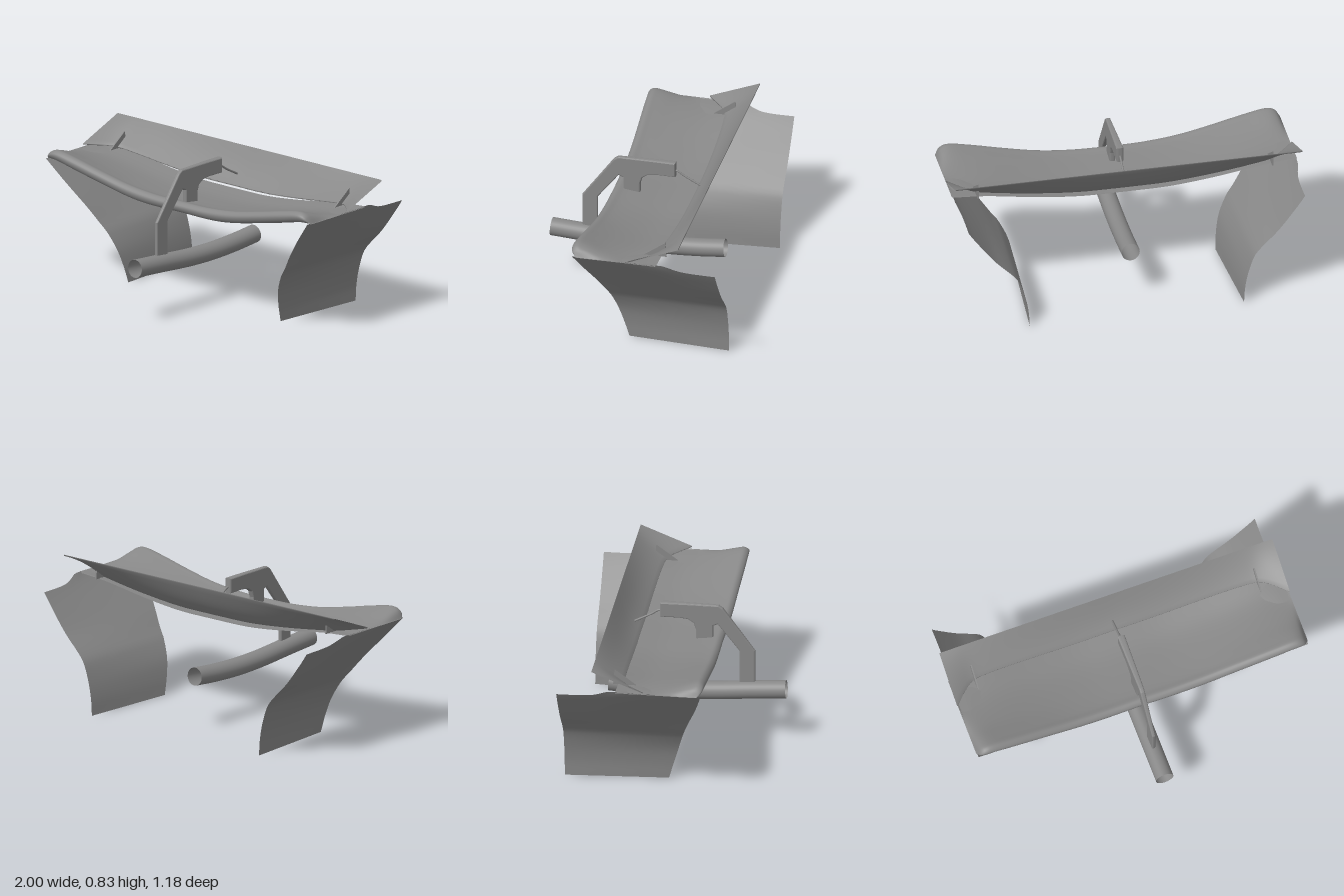
import * as THREE from 'three';

const V = (x, y, z) => new THREE.Vector3(x, y, z);

// Smooth lookup in a short table of [position, value] pairs.
function curve(table) {
  const n = table.length;
  const slope = (i) => {
    const a = table[Math.max(i - 1, 0)], b = table[Math.min(i + 1, n - 1)];
    return (b[1] - a[1]) / (b[0] - a[0]);
  };
  return (t) => {
    t = Math.min(Math.max(t, table[0][0]), table[n - 1][0]);
    let i = 0;
    while (i < n - 2 && t > table[i + 1][0]) i++;
    const [x0, y0] = table[i], [x1, y1] = table[i + 1], h = x1 - x0, u = (t - x0) / h;
    const u2 = u * u, u3 = u2 * u;
    return (2 * u3 - 3 * u2 + 1) * y0 + (u3 - 2 * u2 + u) * h * slope(i)
      + (3 * u2 - 2 * u3) * y1 + (u3 - u2) * h * slope(i + 1);
  };
}

// Skin over rows of points.
function loft(rows) {
  const m = rows[0].length, index = [];
  for (let i = 0; i < rows.length - 1; i++) {
    for (let j = 0; j < m - 1; j++) {
      const a = i * m + j, b = a + m;
      index.push(a, a + 1, b, b, a + 1, b + 1);
    }
  }
  const geo = new THREE.BufferGeometry().setFromPoints(rows.flat());
  geo.setIndex(index);
  geo.computeVertexNormals();
  return geo;
}

// Span positions, closer together toward the tips.
function stations(half, count) {
  return Array.from({ length: count + 1 }, (_, i) => half * Math.sin((i / count - 0.5) * Math.PI));
}

export function createModel() {
  const group = new THREE.Group();
  const grey = new THREE.MeshStandardMaterial({ color: 0x888888, side: THREE.DoubleSide });
  grey.name = 'grey';
  const add = (name, geo) => {
    const mesh = new THREE.Mesh(geo, grey);
    mesh.name = name;
    group.add(mesh);
    return mesh;
  };

  // Main wing: rolled leading edge, thin trailing edge, raised tips
  const top = curve([[0, 0.633], [0.2, 0.636], [0.4, 0.655], [0.6, 0.694], [0.8, 0.738], [0.92, 0.757], [0.97, 0.74], [0.995, 0.7]]);
  const bottom = curve([[0, 0.562], [0.25, 0.562], [0.4, 0.578], [0.6, 0.618], [0.8, 0.662], [0.92, 0.69], [0.995, 0.697]]);
  const rear = curve([[0, 0.612], [0.25, 0.615], [0.5, 0.64], [0.8, 0.685], [0.995, 0.7]]);
  const nose = curve([[0, 0.228], [0.5, 0.235], [0.9, 0.246], [0.97, 0.24], [0.995, 0.215]]);
  add('mainWing', loft(stations(0.995, 64).map((x) => {
    const a = Math.abs(x), T = top(a), B = bottom(a), R = rear(a), N = nose(a), h = T - B;
    return new THREE.CatmullRomCurve3([
      V(x, R + 0.003, -0.25), V(x, R - 0.12 * h, -0.1), V(x, R + (T - R) * 0.4 - 0.1 * h, 0.06),
      V(x, T - 0.12 * h, N - 0.07), V(x, T, N - 0.025), V(x, T - 0.3 * h, N),
      V(x, B + 0.25 * h, N - 0.012), V(x, B + 0.06 * h, N - 0.05), V(x, B, 0.1),
      V(x, B + (R - B) * 0.3, -0.05), V(x, R - 0.003, -0.25),
    ]).getPoints(40);
  })));

  // Flap: straight trailing edge, lower edge following the main wing
  const lipZ = curve([[0, -0.24], [0.5, -0.235], [0.8, -0.22], [0.88, -0.198], [1, -0.09]]);
  const lipY = curve([[0, 0.638], [0.25, 0.64], [0.5, 0.66], [0.8, 0.695], [0.9, 0.706], [1, 0.715]]);
  add('flap', loft(stations(1, 56).map((x) => {
    const a = Math.abs(x), z0 = lipZ(a), y0 = lipY(a), row = [];
    const at = (u, off) => V(x, y0 + (0.83 - y0) * u - 0.02 * Math.sin(u * Math.PI) * (1 - a) + off,
      z0 + (-0.382 - z0) * u);
    for (let k = 8; k >= 0; k--) row.push(at(k / 8, 0));
    for (let k = 0; k <= 8; k++) row.push(at(k / 8, -0.007));
    row.push(row[0].clone());
    return row;
  })));

  // End plates: curved sheets sweeping inward toward the bottom
  const plateFront = curve([[0, 0], [0.17, 0.05], [0.35, 0.105], [0.57, 0.193], [0.7, 0.236]]);
  const plateTop = curve([[-0.588, 0.66], [-0.45, 0.662], [-0.38, 0.67], [-0.33, 0.688], [-0.29, 0.703], [-0.2, 0.7], [0.25, 0.7]]);
  const xFront = curve([[0, 0.577], [0.1, 0.587], [0.2, 0.61], [0.3, 0.66], [0.35, 0.7], [0.45, 0.775], [0.58, 0.885], [0.7, 0.99]]);
  const xRear = curve([[0, 0.618], [0.1, 0.625], [0.2, 0.645], [0.3, 0.68], [0.35, 0.718], [0.45, 0.815], [0.58, 0.915], [0.66, 0.97], [0.7, 0.99]]);
  const sheet = [];
  for (let i = 0; i <= 32; i++) {
    const row = [];
    for (let j = 0; j <= 32; j++) {
      const u = j / 32, v = i / 32;
      const z = plateFront(v * 0.7) * (1 - u) - 0.588 * u, y = v * plateTop(z);
      row.push(V(xFront(y) * (1 - u) + xRear(y) * u, y, z));
    }
    sheet.push(row);
  }
  const plateGeo = loft(sheet);
  add('leftEndPlate', plateGeo);
  add('rightEndPlate', plateGeo).scale.x = -1;

  // Flat profile in the side plane, extruded across x
  const sideProfile = (pts, options) => {
    const shape = new THREE.Shape(pts.map(([z, y]) => new THREE.Vector2(-z, y)));
    const geo = new THREE.ExtrudeGeometry(shape, options);
    geo.translate(0, 0, -options.depth / 2);
    return geo.rotateY(Math.PI / 2);
  };

  // Flap brackets
  for (const s of [1, -1]) {
    add(s > 0 ? 'leftFlapBracket' : 'rightFlapBracket',
      sideProfile([[-0.15, 0.69], [-0.28, 0.69], [-0.272, 0.778]], { depth: 0.008, bevelEnabled: false }))
      .position.x = s * 0.85;
  }

  // Curved pylon, wider toward the rear
  const pylon = sideProfile([
    [0.403, 0.33], [0.403, 0.552], [0.222, 0.8], [0.2, 0.815], [0, 0.818], [-0.125, 0.818],
    [-0.125, 0.742], [-0.02, 0.742], [0.03, 0.735], [0.067, 0.71], [0.08, 0.67], [0.08, 0.6],
    [0.165, 0.6], [0.165, 0.7], [0.2, 0.715], [0.327, 0.553], [0.327, 0.33],
  ], { depth: 0.008, bevelEnabled: true, bevelSize: 0.007, bevelThickness: 0.007, bevelSegments: 3 });
  const p = pylon.attributes.position;
  for (let i = 0; i < p.count; i++) {
    p.setX(i, p.getX(i) * THREE.MathUtils.mapLinear(p.getZ(i), -0.13, 0.41, 1.9, 0.9));
  }
  pylon.computeVertexNormals();
  add('pylon', pylon);

  // Link from pylon to flap
  add('flapLink', new THREE.TubeGeometry(new THREE.CatmullRomCurve3(
    [V(0, 0.772, -0.11), V(0, 0.77, -0.14), V(0, 0.745, -0.18), V(0, 0.695, -0.275)]), 16, 0.006, 8));

  // Open exhaust pipe
  add('exhaustPipe', new THREE.TubeGeometry(new THREE.CatmullRomCurve3(
    [V(0, 0.323, 0.588), V(0, 0.309, 0.38), V(0, 0.292, 0.15), V(0, 0.287, -0.05), V(0, 0.295, -0.25), V(0, 0.31, -0.42)]),
  40, 0.052, 32));

  return group;
}
